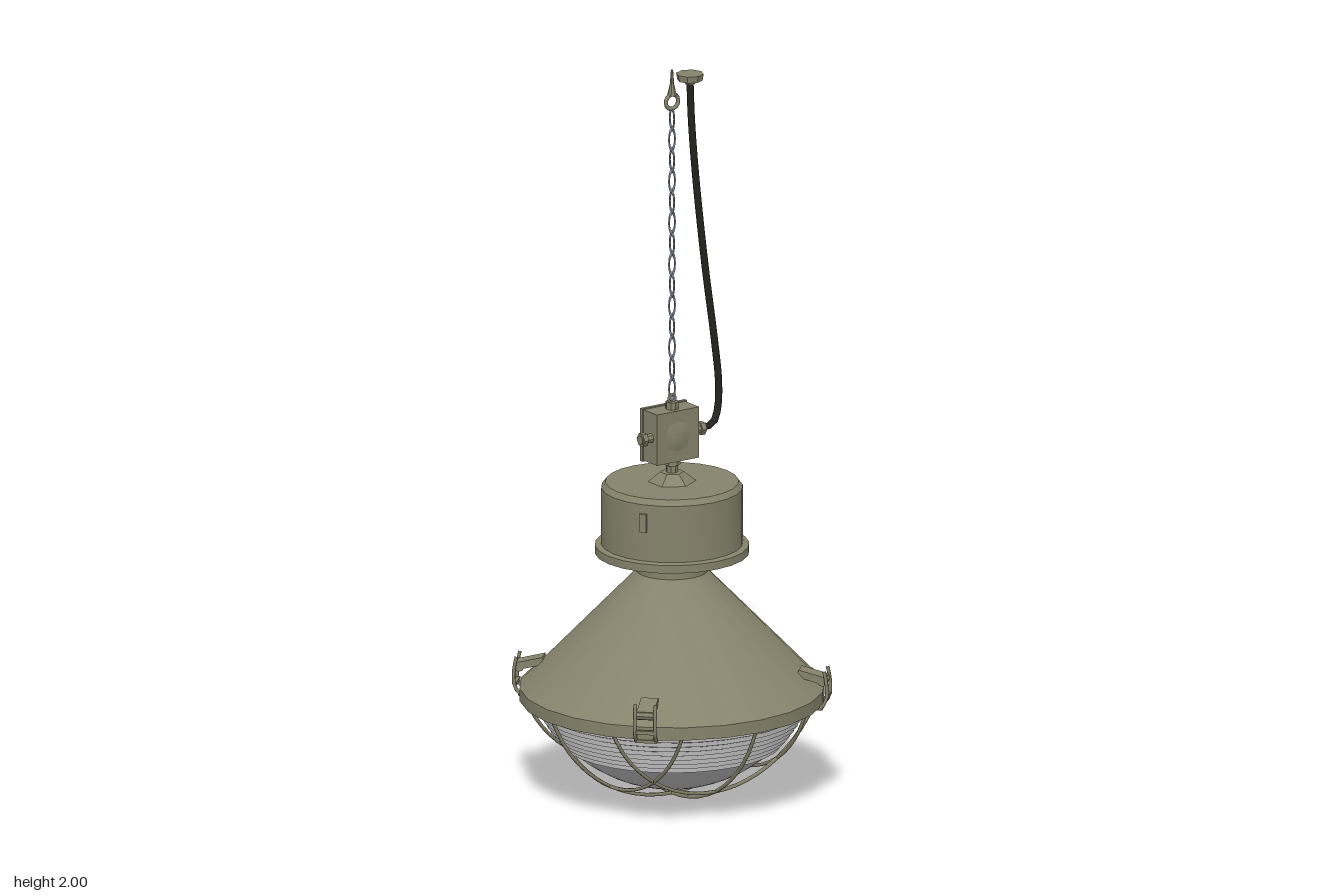
import * as THREE from 'three';
import { toCreasedNormals } from 'three/addons/utils/BufferGeometryUtils.js';

export function createModel() {
  const model = new THREE.Group();
  model.name = 'pendantLamp';

  const mat = (name, color, side = THREE.FrontSide) => {
    const m = new THREE.MeshStandardMaterial({ color, side });
    m.name = name;
    return m;
  };
  const olive = mat('olivePaint', 0x85836b);
  const glass = mat('greyGlass', 0xb8b8b8, THREE.DoubleSide);
  const rubber = mat('blackRubber', 0x24241f);
  const steel = mat('chainSteel', 0x8b95a3);

  const add = (name, geo, material, parent = model) => {
    const mesh = new THREE.Mesh(geo, material);
    mesh.name = name;
    parent.add(mesh);
    return mesh;
  };
  // Profile points run from the bottom upwards
  const lathe = (name, pts, sides, material = olive) => add(name,
    toCreasedNormals(new THREE.LatheGeometry(pts.map(p => new THREE.Vector2(...p)), sides), 0.5), material);
  const cyl = (name, r1, r2, h, sides, pos, parent = model) => {
    const m = add(name, toCreasedNormals(new THREE.CylinderGeometry(r1, r2, h, sides), 0.5), olive, parent);
    m.position.set(...pos);
    return m;
  };
  const box = (name, size, pos, parent = model) => {
    const m = add(name, new THREE.BoxGeometry(...size), olive, parent);
    m.position.set(...pos);
    return m;
  };
  const tube = (name, pts, r, segs, material = olive, parent = model) => add(name,
    new THREE.TubeGeometry(new THREE.CatmullRomCurve3(pts.map(p => new THREE.Vector3(...p))), segs, r, 6), material, parent);

  // Conical shade with its rim and neck
  lathe('shade', [[0.36, 0.285], [0.37, 0.268], [0.405, 0.268], [0.405, 0.303], [0.395, 0.308],
    [0.095, 0.62], [0.095, 0.69]], 24);

  // Ballast housing: stepped underside, flange, drum and chamfered top
  lathe('ballastHousing', [[0.09, 0.69], [0.125, 0.69], [0.125, 0.68], [0.155, 0.68], [0.155, 0.69],
    [0.18, 0.69], [0.18, 0.67], [0.205, 0.67], [0.205, 0.692], [0.188, 0.695], [0.188, 0.85],
    [0.177, 0.865], [0, 0.865]], 24);
  const plate = box('housingLatch', [0.02, 0.05, 0.008], [-0.162, 0.8, 0.098]);
  plate.rotation.y = -1.03;

  // Glass bowl: stepped ribs near the rim, smooth below
  const bowlR = 0.397, bowlY = 0.427;
  const bowl = [];
  for (let i = 0; i <= 12; i++) {
    const a = i / 12 * 0.77;
    bowl.push([bowlR * Math.sin(a), bowlY - bowlR * Math.cos(a)]);
  }
  const ribs = 9, ribStart = bowl[12][1], ribStep = (0.275 - ribStart) / ribs;
  for (let i = 0; i < ribs; i++) {
    const y = ribStart + (i + 1) * ribStep;
    const r = Math.sqrt(bowlR ** 2 - (bowlY - y) ** 2);
    bowl.push([r, y - ribStep * 0.8], [r, y]);
  }
  lathe('glassBowl', bowl, 32, glass);

  // Wire guard: three bars each way, lying on a sphere
  const guard = new THREE.Group();
  guard.name = 'wireGuard';
  model.add(guard);
  const gR = 0.416, gY = 0.421, gTop = 0.275;
  for (const turn of [0, Math.PI / 2]) {
    for (const offset of [-0.2, 0, 0.2]) {
      const r = Math.sqrt(gR ** 2 - offset ** 2);
      const end = Math.acos((gY - gTop) / r);
      const pts = [];
      for (let i = 0; i <= 12; i++) {
        const a = -end + 2 * end * i / 12;
        pts.push([r * Math.sin(a), gY - r * Math.cos(a), offset]);
      }
      tube('guardWire', pts, 0.005, 24, olive, guard).rotation.y = turn;
    }
  }

  // Four rim clips: a rolled tongue with a wire bail
  for (let i = 0; i < 4; i++) {
    const clip = new THREE.Group();
    clip.name = 'rimClip';
    clip.rotation.y = Math.PI / 4 + i * Math.PI / 2;
    model.add(clip);
    const tongue = box('clipTongue', [0.046, 0.02, 0.075], [0, 0.348, 0.378], clip);
    tongue.rotation.x = 0.25;
    const roll = cyl('clipRoll', 0.013, 0.013, 0.046, 8, [0, 0.337, 0.408], clip);
    roll.rotation.z = Math.PI / 2;
    for (const s of [-1, 1]) {
      tube('clipWire', [[s * 0.027, 0.262, 0.4], [s * 0.027, 0.285, 0.418],
        [s * 0.027, 0.33, 0.42], [s * 0.027, 0.368, 0.413]], 0.005, 6, olive, clip);
    }
    box('clipBar', [0.058, 0.01, 0.01], [0, 0.292, 0.417], clip);
    box('clipFoot', [0.058, 0.008, 0.03], [0, 0.264, 0.393], clip);
  }

  // Collar and stem under the junction box
  cyl('collar', 0.032, 0.064, 0.026, 6, [0, 0.878, 0]);
  cyl('stem', 0.016, 0.016, 0.06, 8, [0, 0.905, 0]);
  cyl('stemNut', 0.022, 0.022, 0.014, 6, [0, 0.918, 0]);

  // Junction box with lid, shallow raised centre and cable glands
  box('junctionBox', [0.136, 0.14, 0.066], [0, 0.995, -0.005]);
  box('boxBack', [0.144, 0.146, 0.01], [0, 0.995, -0.039]);
  const dome = cyl('boxFrontBoss', 0.012, 0.042, 0.008, 8, [0, 0.995, 0.032]);
  dome.rotation.x = Math.PI / 2;
  for (const s of [-1, 1]) {
    const gland = cyl('cableGland', 0.013, 0.013, 0.04, 8, [s * 0.084, 0.995, 0]);
    gland.rotation.z = Math.PI / 2;
    const nut = cyl('glandNut', 0.019, 0.019, 0.014, 6, [s * 0.094, 0.995, 0]);
    nut.rotation.z = Math.PI / 2;
  }
  cyl('topNut', 0.017, 0.017, 0.02, 8, [0, 1.075, 0]);
  add('topEye', new THREE.TorusGeometry(0.011, 0.004, 6, 10), olive).position.set(0, 1.093, 0);

  // Chain of long links, each turned a quarter from the last
  const chain = new THREE.Group();
  chain.name = 'chain';
  model.add(chain);
  const links = 14, first = 1.12, last = 1.865;
  const linkGeo = new THREE.TorusGeometry(0.01, 0.0025, 5, 14);
  linkGeo.scale(1, 2.8, 1);
  for (let i = 0; i < links; i++) {
    const link = add('chainLink', linkGeo, steel, chain);
    link.position.y = first + (last - first) * i / (links - 1);
    link.rotation.y = i % 2 ? Math.PI / 2 : 0;
  }

  // Ceiling hook
  add('hookRing', new THREE.TorusGeometry(0.02, 0.006, 6, 14), olive).position.set(0, 1.912, 0);
  cyl('hookNeck', 0.006, 0.013, 0.03, 8, [0, 1.945, 0]);
  cyl('hookScrew', 0.003, 0.006, 0.042, 8, [0, 1.979, 0]);

  // Power cable and its ceiling rose
  tube('cable', [[0.058, 1.965, 0], [0.063, 1.85, 0], [0.08, 1.68, -0.003], [0.115, 1.43, -0.01],
    [0.15, 1.22, -0.017], [0.163, 1.1, -0.017], [0.155, 1.03, -0.012], [0.135, 1.0, -0.005],
    [0.095, 0.995, 0]], 0.0095, 40, rubber);
  cyl('ceilingRose', 0.037, 0.034, 0.018, 8, [0.058, 1.971, 0]);
  cyl('roseNeck', 0.02, 0.013, 0.012, 8, [0.058, 1.957, 0]);

  return model;
}
